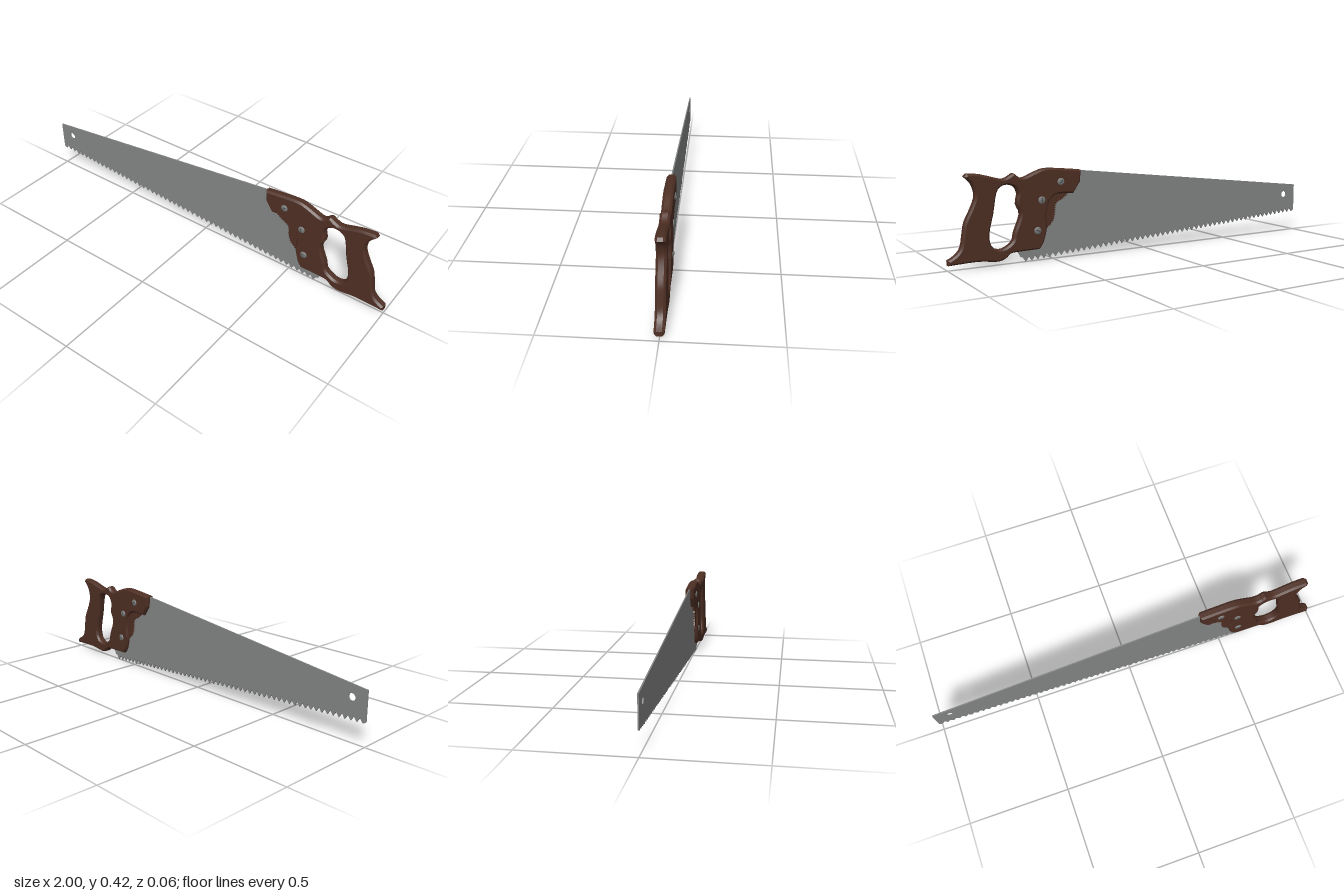
import * as THREE from 'three';
import { toCreasedNormals } from 'three/addons/utils/BufferGeometryUtils.js';

const mat = (name, color, side = THREE.FrontSide) => {
  const m = new THREE.MeshStandardMaterial({ color, side });
  m.name = name;
  return m;
};
const V = (p) => new THREE.Vector2(p[0], p[1]);

// Smooth each run of points, keeping sharp corners where runs meet
const smoothRuns = (runs, n = 3) => {
  const out = [];
  for (const run of runs) {
    const pts = new THREE.SplineCurve(run.map(V)).getPoints((run.length - 1) * n);
    out.push(...pts.slice(0, -1));
  }
  return out;
};

// Extrude centred on z = 0, bevel kept inside the outline
const slab = (shape, depth, bevel = 0, bevelDepth = bevel) => {
  const g = new THREE.ExtrudeGeometry(shape, {
    depth: depth - 2 * bevelDepth, curveSegments: 20,
    bevelEnabled: bevel > 0, bevelSize: bevel, bevelThickness: bevelDepth,
    bevelOffset: -bevel, bevelSegments: 1,
  });
  g.translate(0, 0, -(depth - 2 * bevelDepth) / 2);
  return toCreasedNormals(g, 0.5);
};

export function createModel() {
  const saw = new THREE.Group();
  saw.name = 'handSaw';
  const wood = mat('dark wood', 0x4e2f24);
  const steel = mat('blade steel', 0x838684);
  const screwMetal = mat('screw metal', 0x767a78);
  const slotDark = mat('screw slot', 0x3a3c3b);
  const add = (name, geo, material, parent = saw) => {
    const m = new THREE.Mesh(geo, material);
    m.name = name;
    parent.add(m);
    return m;
  };

  // Blade: tapered plate with a row of teeth and a hanging hole
  const teeth = 55, x0 = -1, x1 = 0.65;
  const outline = [[0.55, 0.4], [0.36, 0.413], [-1, 0.26], [-1, 0.118]];
  for (let i = 0; i < teeth; i++) {
    const at = (t) => x0 + (x1 - x0) * (i + t) / teeth;
    const base = (x) => 0.132 - 0.105 * (x - x0) / (x1 - x0);
    const tip = at(0.5), root = at(1);
    outline.push([tip, base(tip) - 0.022], [root, base(root)]);
  }
  outline.push([0.66, 0.03], [0.676, 0.058], [0.63, 0.1], [0.63, 0.25]);
  const bladeShape = new THREE.Shape(outline.map(V));
  bladeShape.holes.push(new THREE.Path().absarc(-0.925, 0.21, 0.017, 0, Math.PI * 2, true));
  add('blade', slab(bladeShape, 0.006), steel);

  // Handle: bevelled wooden plate with a grip opening
  const handleShape = new THREE.Shape(smoothRuns([
    [[0.355, 0.415], [0.44, 0.424], [0.53, 0.43], [0.58, 0.418], [0.64, 0.394], [0.668, 0.398],
      [0.69, 0.415], [0.718, 0.4], [0.75, 0.394], [0.84, 0.418], [0.905, 0.425]],
    [[0.905, 0.425], [0.917, 0.412]],
    [[0.917, 0.412], [0.885, 0.38], [0.87, 0.33], [0.885, 0.28], [0.918, 0.215], [0.928, 0.17],
      [0.94, 0.105], [0.965, 0.072], [1, 0.052]],
    [[1, 0.052], [1, 0.03]],
    [[1, 0.03], [0.865, 0.034], [0.78, 0.024], [0.738, 0.033], [0.71, 0.055], [0.67, 0.058], [0.572, 0.06]],
    [[0.572, 0.06], [0.55, 0.09], [0.533, 0.155], [0.536, 0.21], [0.527, 0.265], [0.505, 0.297],
      [0.47, 0.31], [0.395, 0.308]],
    [[0.395, 0.308], [0.36, 0.36]],
    [[0.36, 0.36], [0.355, 0.415]],
  ]));
  handleShape.holes.push(new THREE.Path(smoothRuns([
    [[0.67, 0.32], [0.678, 0.275], [0.661, 0.227], [0.69, 0.15], [0.7, 0.11], [0.735, 0.083],
      [0.77, 0.078], [0.803, 0.1], [0.81, 0.155], [0.79, 0.24], [0.772, 0.335], [0.745, 0.363],
      [0.712, 0.365], [0.682, 0.35], [0.67, 0.32]],
  ])));
  add('handle', slab(handleShape, 0.044, 0.008, 0.01), wood);

  // Thinner carved edge with fine scallops in front of the handle
  const edge = new THREE.SplineCurve([[0.415, 0.315], [0.445, 0.29], [0.485, 0.265], [0.492, 0.215],
    [0.505, 0.18], [0.54, 0.148]].map(V));
  const carved = edge.getSpacedPoints(44).map((p, i) => {
    const t = edge.getTangentAt(i / 44);
    const s = i % 2 ? 0.004 : -0.003;
    return new THREE.Vector2(p.x + t.y * s, p.y - t.x * s);
  });
  carved.push(V([0.56, 0.17]), V([0.55, 0.28]), V([0.49, 0.33]));
  add('carvedEdge', slab(new THREE.Shape(carved), 0.024), wood);

  // Domed slotted screws on both faces
  const dome = new THREE.LatheGeometry(
    [[0.017, 0], [0.017, 0.003], [0.0135, 0.0055], [0.007, 0.0065], [0, 0.0068]].map(V), 20);
  dome.rotateX(Math.PI / 2);
  const slot = new THREE.BoxGeometry(0.02, 0.003, 0.0016);
  [[0.463, 0.366], [0.56, 0.287], [0.583, 0.148]].forEach(([x, y], i) => {
    for (const side of [1, -1]) {
      const screw = new THREE.Group();
      screw.name = `${side > 0 ? 'front' : 'back'}Screw${i + 1}`;
      screw.position.set(x, y, side * 0.021);
      if (side < 0) screw.rotation.y = Math.PI;
      add('screwHead', dome, screwMetal, screw);
      const s = add('screwSlot', slot, slotDark, screw);
      s.position.z = 0.0063;
      s.rotation.z = 0.7 + i;
      saw.add(screw);
    }
  });
  return saw;
}
